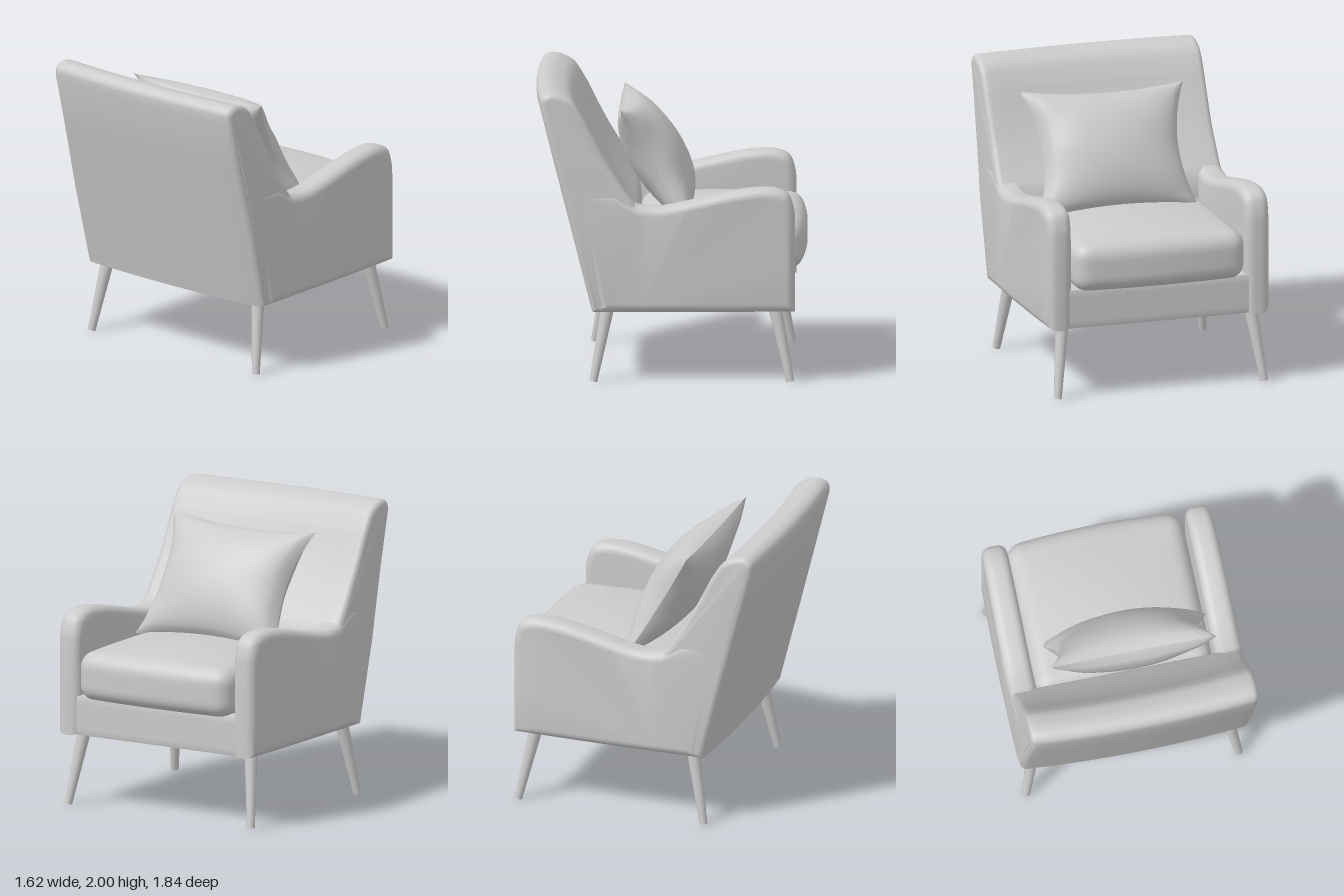
import * as THREE from 'three';
import { toCreasedNormals, mergeGeometries } from 'three/addons/utils/BufferGeometryUtils.js';

const grey = new THREE.MeshStandardMaterial({ color: 0xcccccc });

// Move every vertex by a rule, then smooth all but the sharp edges
function bend(geo, rule, crease = 0.75) {
  const p = geo.attributes.position;
  const v = new THREE.Vector3();
  for (let i = 0; i < p.count; i++) {
    v.fromBufferAttribute(p, i);
    rule(v);
    p.setXYZ(i, v.x, v.y, v.z);
  }
  return toCreasedNormals(geo, crease);
}

function part(name, geo) {
  const m = new THREE.Mesh(geo, grey);
  m.name = name;
  return m;
}

// Extrude a (z, y) side profile across x, from x0 to x1, with rounded edges inside the outline
function sidePanel(shape, x0, x1, bevel, steps) {
  const geo = new THREE.ExtrudeGeometry(shape, {
    depth: x1 - x0 - 2 * bevel, steps, curveSegments: 8,
    bevelEnabled: true, bevelThickness: bevel, bevelSize: bevel, bevelOffset: -bevel, bevelSegments: 5,
  });
  geo.translate(0, 0, x0 + bevel);
  // shape x is -z, extrusion is x
  geo.rotateY(Math.PI / 2);
  return geo;
}

const pts = (list) => list.map(([z, y]) => new THREE.Vector2(-z, y));

// Box whose corners and edges are rounded with radius r
function softBox(w, h, d, r, nx, ny, nz) {
  const geo = new THREE.BoxGeometry(w, h, d, nx, ny, nz);
  const half = new THREE.Vector3(w / 2 - r, h / 2 - r, d / 2 - r);
  const core = new THREE.Vector3();
  return bend(geo, (v) => {
    core.copy(v).clamp(half.clone().negate(), half);
    v.sub(core);
    if (v.length() > 0) v.setLength(r);
    v.add(core);
  });
}

function makeBack() {
  const s = new THREE.Shape();
  s.moveTo(-0.53, 0.49);
  s.lineTo(-0.67, 1.05);
  s.lineTo(-0.79, 1.52);
  s.lineTo(-0.885, 1.9);
  s.splineThru(pts([[0.885, 1.95], [0.86, 1.985], [0.81, 2.0], [0.74, 1.985], [0.66, 1.935], [0.58, 1.81]]));
  s.splineThru(pts([[0.5, 1.65], [0.42, 1.5], [0.32, 1.34], [0.23, 1.21]]));
  s.lineTo(-0.21, 1.05);
  s.lineTo(-0.21, 0.49);
  const geo = sidePanel(s, -0.79, 0.79, 0.04, 16);
  // The rear bows gently outward
  return part('backrest', bend(geo, (v) => {
    const rear = THREE.MathUtils.clamp((v.z - 0.21) / 0.3, 0, 1);
    v.z += 0.035 * rear * (1 - (v.x / 0.79) ** 2);
    v.x *= 1 + 0.015 * Math.max(0, 1 - ((v.y - 0.95) / 0.5) ** 2);
  }));
}

function makeArm() {
  const s = new THREE.Shape();
  s.moveTo(0.84, 0.49);
  s.lineTo(0.84, 0.8);
  s.lineTo(0.84, 1.12);
  s.splineThru(pts([[-0.832, 1.2], [-0.8, 1.29], [-0.74, 1.33], [-0.65, 1.345], [-0.53, 1.337],
    [-0.4, 1.315], [-0.2, 1.27], [0, 1.225], [0.12, 1.213], [0.23, 1.225]]));
  s.lineTo(-0.38, 1.32);
  s.lineTo(-0.66, 1.32);
  s.lineTo(-0.5, 0.52);
  s.lineTo(-0.5, 0.49);
  for (const z of [0.2, -0.1, -0.4, -0.65]) s.lineTo(-z, 0.49);
  const geo = sidePanel(s, 0.62, 0.79, 0.06, 1);
  return bend(geo, (v) => {
    if (v.x > 0.7) v.x += 0.018 * (1 - (v.z / 0.85) ** 2);
  });
}

function makeSeatCushion() {
  const geo = softBox(1.22, 0.33, 1.1, 0.1, 36, 12, 36);
  geo.translate(0, 0.915, -0.335);
  return part('seatCushion', bend(geo, (v) => {
    const cx = 1 - (v.x / 0.61) ** 2;
    const u = (v.z + 0.335) / 0.55;
    // Crowned top and bowed front
    if (v.y > 0.9) v.y += 0.06 * cx * (1 - u * u);
    if (u < 0) v.z += 0.035 * u * cx;
  }));
}

function makePillow() {
  const front = new THREE.PlaneGeometry(2, 2, 32, 32);
  const back = front.clone().rotateY(Math.PI);
  const shapeSide = (sign, thick) => (v) => {
    const u = v.x, w = v.y;
    const a = 1 - u * u, b = 1 - w * w;
    const fold = 1 + 0.05 * Math.sin(9 * u * w + 2 * u) * (u * u);
    // Full middle, pinched corners
    v.z = sign * thick * Math.pow(Math.max(a * b, 0), 0.47) * fold;
    v.x = 0.58 * u * (1 - 0.17 * b);
    v.y = 0.45 * w * (1 - 0.1 * a);
  };
  const geo = mergeGeometries([
    bend(front, shapeSide(1, 0.18), 1),
    bend(back, shapeSide(-1, 0.2), 1),
  ]);
  const m = part('pillow', geo);
  m.position.set(0.04, 1.45, 0.11);
  m.rotation.set(Math.PI / 6, 0, 0.02);
  return m;
}

// Tapered round leg between two points
function makeLeg(name, top, foot) {
  const dir = top.clone().sub(foot);
  const m = part(name, new THREE.CylinderGeometry(0.046, 0.027, dir.length(), 16));
  m.position.copy(top).add(foot).multiplyScalar(0.5);
  m.quaternion.setFromUnitVectors(new THREE.Vector3(0, 1, 0), dir.normalize());
  return m;
}

export function createModel() {
  const chair = new THREE.Group();
  chair.name = 'armchair';
  chair.add(makeBack());

  // Arms, mirrored by turning the winding over as well
  const armGeo = makeArm();
  chair.add(part('leftArm', armGeo));
  const rightArm = part('rightArm', armGeo);
  rightArm.scale.x = -1;
  chair.add(rightArm);

  // Upholstered base frame
  const base = part('base', softBox(1.46, 0.28, 1.34, 0.02, 24, 10, 24));
  base.position.set(0, 0.63, -0.155);
  chair.add(base);

  chair.add(makeSeatCushion(), makePillow());

  // Splayed legs
  for (const [side, sx] of [['Left', 1], ['Right', -1]]) {
    for (const [end, zt, zf] of [['rear', 0.43, 0.53], ['front', -0.7, -0.808]]) {
      chair.add(makeLeg(end + side + 'Leg',
        new THREE.Vector3(sx * 0.67 - 0.018, 0.52, zt),
        new THREE.Vector3(sx * 0.737 - 0.018, 0.004, zf)));
    }
  }
  return chair;
}
